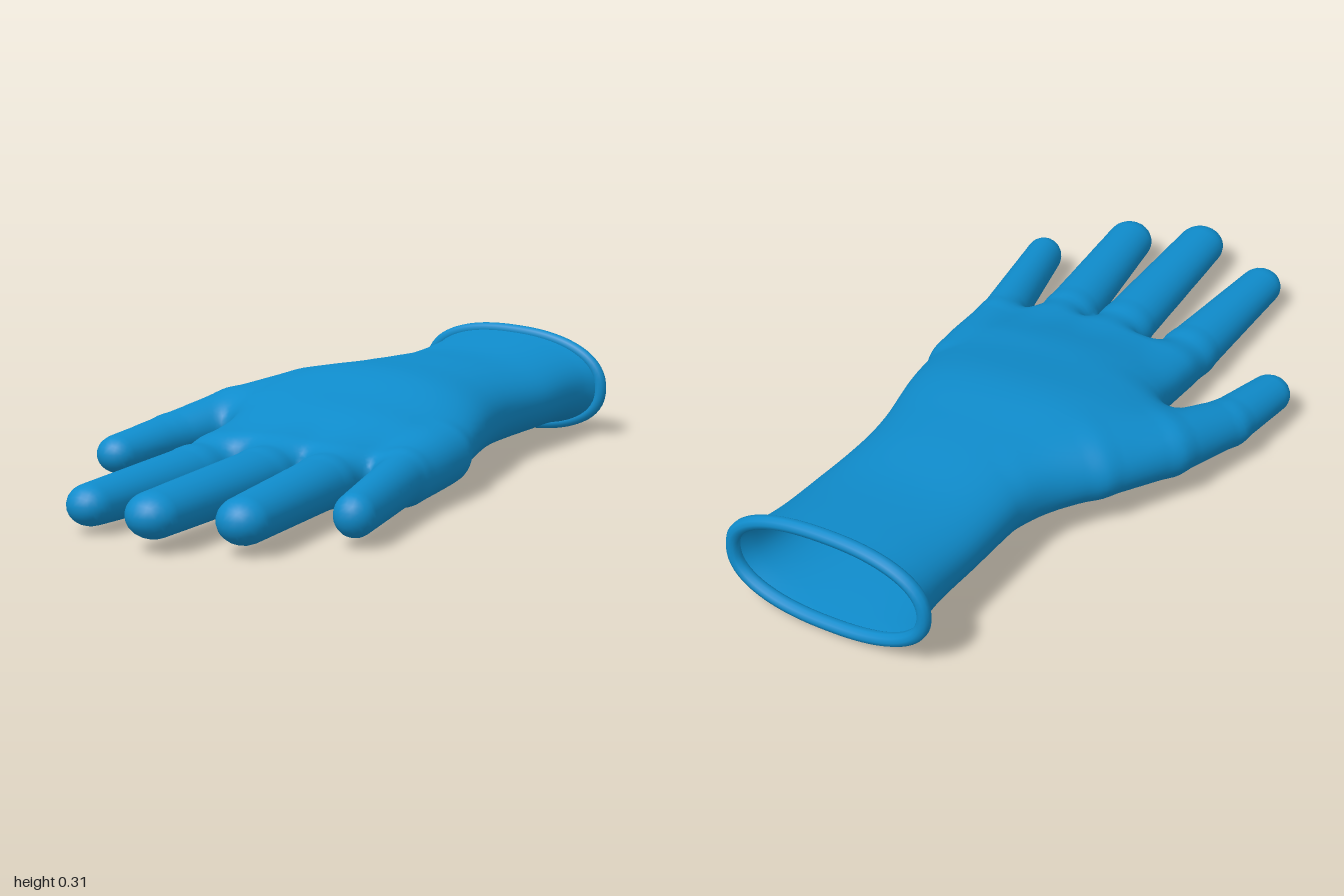
import * as THREE from 'three';

// Sleeve and palm sections: z, then left x, right x, bottom y, top y
const SECTIONS = [
  [-1.0, -0.255, 0.315, 0.02, 0.29],
  [-0.92, -0.232, 0.288, 0.025, 0.282],
  [-0.7, -0.225, 0.283, 0.028, 0.262],
  [-0.5, -0.225, 0.28, 0.022, 0.268],
  [-0.4, -0.235, 0.293, 0.02, 0.27],
  [-0.2, -0.3, 0.345, 0.015, 0.272],
  [0, -0.325, 0.392, 0.003, 0.235],
  [0.1, -0.26, 0.405, 0.005, 0.215],
  [0.25, -0.232, 0.41, 0.01, 0.175],
  [0.4, -0.22, 0.41, 0.018, 0.15],
];
const ROUNDNESS = 2.3;
const TILT = 0.06;
const sections = new THREE.CubicInterpolant(
  SECTIONS.map((s) => s[0]), SECTIONS.flatMap((s) => s.slice(1)), 4, new Float32Array(4));

// Digits: points along the middle as [x, y, z, radius]; tall = height over width
const FINGERS = [
  { tall: 0.87, path: [[-0.155, 0.085, 0.1, 0.075], [-0.16, 0.076, 0.42, 0.078], [-0.16, 0.068, 0.84, 0.06]] },
  { tall: 0.83, path: [[0.03, 0.1, 0.1, 0.075], [0.045, 0.092, 0.42, 0.079], [0.084, 0.086, 0.92, 0.068]] },
  { tall: 0.87, path: [[0.19, 0.095, 0.1, 0.075], [0.215, 0.086, 0.4, 0.077], [0.28, 0.08, 0.84, 0.066]] },
  { tall: 1.05, path: [[0.335, 0.1, 0, 0.06], [0.36, 0.09, 0.25, 0.063], [0.455, 0.076, 0.64, 0.052]] },
];
const THUMB = {
  tall: 0.88,
  path: [[-0.14, 0.15, -0.42, 0.08], [-0.26, 0.148, -0.25, 0.092], [-0.355, 0.13, -0.06, 0.09],
    [-0.425, 0.1, 0.15, 0.069], [-0.447, 0.083, 0.35, 0.058]],
};

function smoothMin(a, b, k) {
  const h = Math.max(k - Math.abs(a - b), 0) / k;
  return Math.min(a, b) - h * h * k / 4;
}

// Distance to a tapering, slightly flattened digit
function digitDistance({ tall, path }, x, y, z) {
  let best = Infinity;
  for (let i = 1; i < path.length; i++) {
    const [ax, ay, az, ar] = path[i - 1], [bx, by, bz, br] = path[i];
    const dx = bx - ax, dy = (by - ay) / tall, dz = bz - az;
    const px = x - ax, py = (y - ay) / tall, pz = z - az;
    const t = THREE.MathUtils.clamp((px * dx + py * dy + pz * dz) / (dx * dx + dy * dy + dz * dz), 0, 1);
    const d = Math.hypot(px - t * dx, py - t * dy, pz - t * dz) - ar - t * (br - ar);
    best = smoothMin(best, d, 0.01);
  }
  return best;
}

// Distance to the rounded sleeve and palm, closed off at the knuckles
function palmDistance(x, y, z) {
  const [l, r, b, t] = sections.evaluate(z);
  const w = (r - l) / 2, h = (t - b) / 2, cx = (l + r) / 2;
  const u = Math.abs(x - cx) / w + 1e-5;
  const v = Math.abs(y - (b + t) / 2 + TILT * (x - cx)) / h + 1e-5;
  const k = (u ** ROUNDNESS + v ** ROUNDNESS) ** (1 / ROUNDNESS);
  const e = ROUNDNESS - 1;
  const side = (k - 1) / Math.hypot((u / k) ** e / w, (v / k) ** e / h);
  const end = z - 0.34 + 0.35 * Math.max(0, x - 0.2);
  return -smoothMin(-side, -end, 0.05);
}

function gloveDistance(x, y, z) {
  let fingers = Infinity;
  for (const f of FINGERS) fingers = smoothMin(fingers, digitDistance(f, x, y, z), 0.02);
  return smoothMin(smoothMin(palmDistance(x, y, z), fingers, 0.045), digitDistance(THUMB, x, y, z), 0.07);
}

function gradient(x, y, z) {
  const e = 0.004, f = gloveDistance;
  return new THREE.Vector3(f(x + e, y, z) - f(x - e, y, z), f(x, y + e, z) - f(x, y - e, z),
    f(x, y, z + e) - f(x, y, z - e)).normalize();
}

// Skin over the blended hand; the grid starts at the wrist opening, so that end stays open
function skinGeometry() {
  const step = 0.016, origin = [-0.544, -0.048, -0.98], size = [69, 26, 126];
  const stride = [1, size[0], size[0] * size[1]];
  const at = (i, a) => origin[a] + i * step;
  const field = new Float32Array(size[0] * size[1] * size[2]);
  const eachPoint = (visit) => {
    let n = 0;
    for (let k = 0; k < size[2]; k++)
      for (let j = 0; j < size[1]; j++)
        for (let i = 0; i < size[0]; i++) visit([i, j, k], n++);
  };
  eachPoint(([i, j, k], n) => { field[n] = gloveDistance(at(i, 0), at(j, 1), at(k, 2)); });

  // One vertex per crossed cell, at the mean of its edge crossings
  const cellVertex = new Int32Array(field.length).fill(-1);
  const positions = [], normals = [], index = [];
  eachPoint((c, n) => {
    if (c.some((v, a) => v >= size[a] - 1)) return;
    const sum = [0, 0, 0];
    let count = 0;
    for (let corner = 0; corner < 8; corner++) {
      const bits = [corner & 1, (corner >> 1) & 1, corner >> 2];
      const m = n + bits[0] * stride[0] + bits[1] * stride[1] + bits[2] * stride[2];
      for (let a = 0; a < 3; a++) {
        if (bits[a]) continue;
        const f0 = field[m], f1 = field[m + stride[a]];
        if ((f0 < 0) === (f1 < 0)) continue;
        for (let q = 0; q < 3; q++) sum[q] += bits[q] + (q === a ? f0 / (f0 - f1) : 0);
        count++;
      }
    }
    if (!count) return;
    const p = new THREE.Vector3(...sum.map((s, a) => at(c[a] + s / count, a)));
    p.addScaledVector(gradient(p.x, p.y, p.z), -gloveDistance(p.x, p.y, p.z));
    cellVertex[n] = positions.length / 3;
    positions.push(p.x, p.y, p.z);
    normals.push(...gradient(p.x, p.y, p.z).toArray());
  });

  // One quad around every crossed grid edge
  eachPoint((c, n) => {
    for (let a = 0; a < 3; a++) {
      const b = (a + 1) % 3, d = (a + 2) % 3;
      if (c[a] >= size[a] - 1 || c[b] < 1 || c[d] < 1) continue;
      const inside = field[n] < 0;
      if (inside === (field[n + stride[a]] < 0)) continue;
      const quad = [n, n - stride[b], n - stride[b] - stride[d], n - stride[d]].map((m) => cellVertex[m]);
      if (quad.includes(-1)) continue;
      if (!inside) quad.reverse();
      index.push(quad[0], quad[1], quad[2], quad[0], quad[2], quad[3]);
    }
  });

  const geometry = new THREE.BufferGeometry();
  geometry.setAttribute('position', new THREE.Float32BufferAttribute(positions, 3));
  geometry.setAttribute('normal', new THREE.Float32BufferAttribute(normals, 3));
  geometry.setIndex(index);
  return geometry;
}

// Rolled bead around the wrist opening
function rimGeometry() {
  const [l, r, b, t] = sections.evaluate(-0.99);
  const w = (r - l) / 2, h = (t - b) / 2, points = [];
  const power = (v) => Math.sign(v) * Math.abs(v) ** (2 / ROUNDNESS);
  for (let i = 0; i < 32; i++) {
    const angle = (i / 32) * Math.PI * 2;
    const x = w * power(Math.cos(angle));
    points.push(new THREE.Vector3((l + r) / 2 + x, (b + t) / 2 + h * power(Math.sin(angle)) - TILT * x, -0.982));
  }
  return new THREE.TubeGeometry(new THREE.CatmullRomCurve3(points, true), 96, 0.018, 10, true);
}

export function createModel() {
  const rubber = new THREE.MeshStandardMaterial({ color: 0x0f8ccc, side: THREE.DoubleSide });
  rubber.name = 'blue rubber';
  const glove = new THREE.Group();
  glove.name = 'glove';
  const parts = { gloveSkin: skinGeometry(), cuffRim: rimGeometry() };
  for (const [name, geometry] of Object.entries(parts)) {
    const mesh = new THREE.Mesh(geometry, rubber);
    mesh.name = name;
    glove.add(mesh);
  }
  return glove;
}
